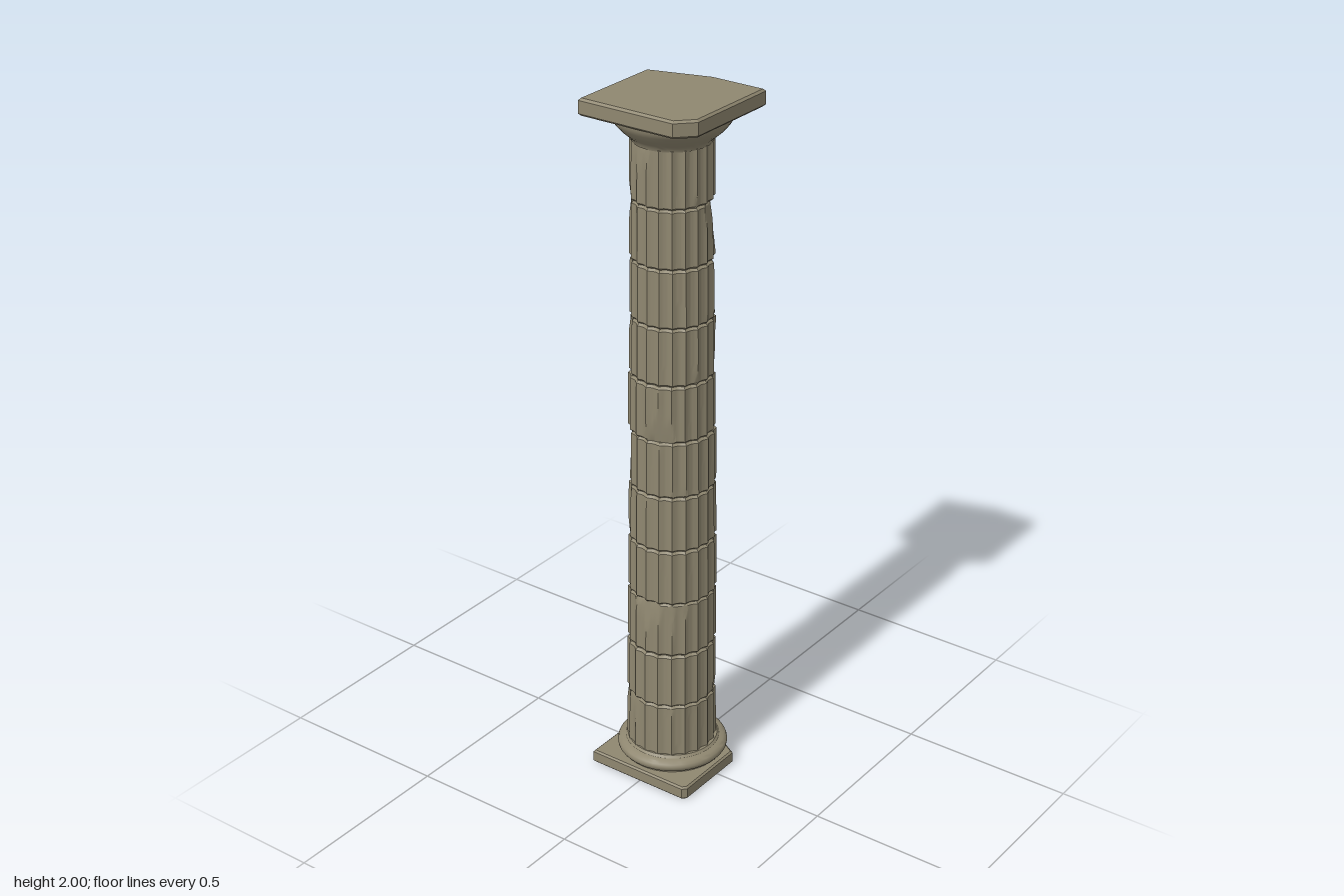
import * as THREE from 'three';
import { toCreasedNormals } from 'three/addons/utils/BufferGeometryUtils.js';

const FLUTES = 20, STEPS = 6, SEG = FLUTES * STEPS;
const DRUMS = 11, SHAFT_BOTTOM = 0.08, SHAFT_TOP = 1.89;
const DRUM_H = (SHAFT_TOP - SHAFT_BOTTOM) / DRUMS;

// Large breaks: [drum, angle in degrees (0 = +x, 90 = +z), tilt (positive cuts the top), depth]
const BREAKS = [
  [0, 115, 0.10, 0.002], [2, 88, 0.12, 0.003], [2, 60, 0.05, 0.003],
  [3, 235, -0.14, 0.006], [3, 300, 0.05, 0.006], [4, 205, -0.08, 0.005],
  [5, 180, 0.13, 0.008], [5, 150, 0.05, 0.006], [6, 70, -0.12, 0.004],
  [6, 240, -0.10, 0.004], [7, 300, -0.06, 0.014], [7, 255, -0.10, 0.006],
  [8, 310, 0.06, 0.013], [8, 270, -0.05, 0.005], [9, 315, 0.12, 0.010],
  [9, 345, 0.08, 0.003], [10, 105, 0.12, 0.001],
];

function seeded(seed) {
  return () => (seed = (seed * 16807) % 2147483647) / 2147483647;
}

// One fluted drum, closed at both ends, with flat breaks cut into its side
function drumGeometry(index, rand) {
  const chips = BREAKS.filter((b) => b[0] === index).map((b) => b.slice(1));
  for (let i = 0; i < 5; i++) {
    chips.push([rand() * 360, (rand() < 0.5 ? -1 : 1) * (0.07 + rand() * 0.06), -0.004]);
  }
  const planes = chips.map(([deg, tilt, depth]) => [deg * Math.PI / 180, tilt, depth]);
  const half = DRUM_H / 2;
  // Rows: [height, inset, closes to the axis]
  const rows = [[-half, 0, true], [-half, 0.007], [-half + 0.006, 0]];
  for (let j = 1; j < 8; j++) rows.push([-half + 0.006 + (DRUM_H - 0.012) * j / 8, 0]);
  rows.push([half - 0.006, 0], [half, 0.007], [half, 0, true]);

  const position = [], faces = [];
  rows.forEach(([y, inset, axis], j) => {
    const t = (index * DRUM_H + half + y) / (SHAFT_TOP - SHAFT_BOTTOM);
    const R = 0.127 - 0.018 * t;
    for (let i = 0; i < SEG; i++) {
      const a = i / SEG * Math.PI * 2;
      const flute = 0.0065 * Math.sin(Math.PI * (i % STEPS) / STEPS);
      let r = R - flute - inset;
      for (const [angle, tilt, depth] of planes) {
        const c = Math.cos(a - angle);
        if (c > 0.3) r = Math.min(r, (R - depth - tilt * y) / c);
      }
      if (axis) r = 0;
      position.push(r * Math.cos(a), y, r * Math.sin(a));
      if (j < rows.length - 1) {
        const p = j * SEG + i, q = j * SEG + (i + 1) % SEG;
        faces.push(p, p + SEG, q, q, p + SEG, q + SEG);
      }
    }
  });
  const geometry = new THREE.BufferGeometry();
  geometry.setAttribute('position', new THREE.Float32BufferAttribute(position, 3));
  geometry.setIndex(faces);
  return toCreasedNormals(geometry, 0.45);
}

// Flat slab with bevelled edges from an outline of [x, z] points
function slabGeometry(points, y, height, bevel) {
  const shape = new THREE.Shape(points.map(([x, z]) => new THREE.Vector2(x, -z)));
  const geometry = new THREE.ExtrudeGeometry(shape, {
    depth: height - 2 * bevel, bevelThickness: bevel, bevelSize: bevel,
    bevelOffset: -bevel, bevelSegments: 1,
  });
  return geometry.rotateX(-Math.PI / 2).translate(0, y + bevel, 0);
}

function latheGeometry(profile) {
  const points = profile.map(([r, y]) => new THREE.Vector2(r, y));
  return toCreasedNormals(new THREE.LatheGeometry(points, 48), 0.6);
}

export function createModel() {
  const group = new THREE.Group();
  const stone = new THREE.MeshStandardMaterial({ color: 0x8f8770 });
  stone.name = 'weathered stone';
  const add = (name, geometry) => {
    const mesh = new THREE.Mesh(geometry, stone);
    mesh.name = name;
    group.add(mesh);
    return mesh;
  };

  // Base: broken square plinth and a rounded ring
  add('plinth', slabGeometry([
    [-0.163, -0.163], [0, -0.163], [0.162, -0.07], [0.162, 0.15],
    [0.15, 0.162], [-0.163, 0.162],
  ], 0, 0.04, 0.005));
  add('baseRing', latheGeometry([
    [0, 0.036], [0.142, 0.036], [0.142, 0.046], [0.151, 0.049], [0.156, 0.056],
    [0.157, 0.063], [0.154, 0.071], [0.146, 0.077], [0.134, 0.08], [0.128, 0.087], [0, 0.087],
  ]));

  // Shaft: stacked drums, each slightly shifted
  const rand = seeded(4127);
  for (let i = 0; i < DRUMS; i++) {
    const drum = add('shaftDrum' + (i + 1), drumGeometry(i, rand));
    drum.position.set((rand() - 0.5) * 0.005, SHAFT_BOTTOM + (i + 0.5) * DRUM_H, (rand() - 0.5) * 0.005);
  }

  // Capital: flared cushion under a broken square slab
  add('capitalCushion', latheGeometry([
    [0, 1.882], [0.106, 1.882], [0.109, 1.892], [0.118, 1.9], [0.134, 1.914],
    [0.149, 1.931], [0.157, 1.944], [0.158, 1.952], [0.152, 1.96], [0, 1.96],
  ]));
  add('capitalSlab', slabGeometry([
    [-0.17, -0.117], [0.005, -0.17], [0.168, -0.17], [0.168, 0.122],
    [0.124, 0.168], [-0.17, 0.168],
  ], 1.953, 0.047, 0.006));

  return group;
}
